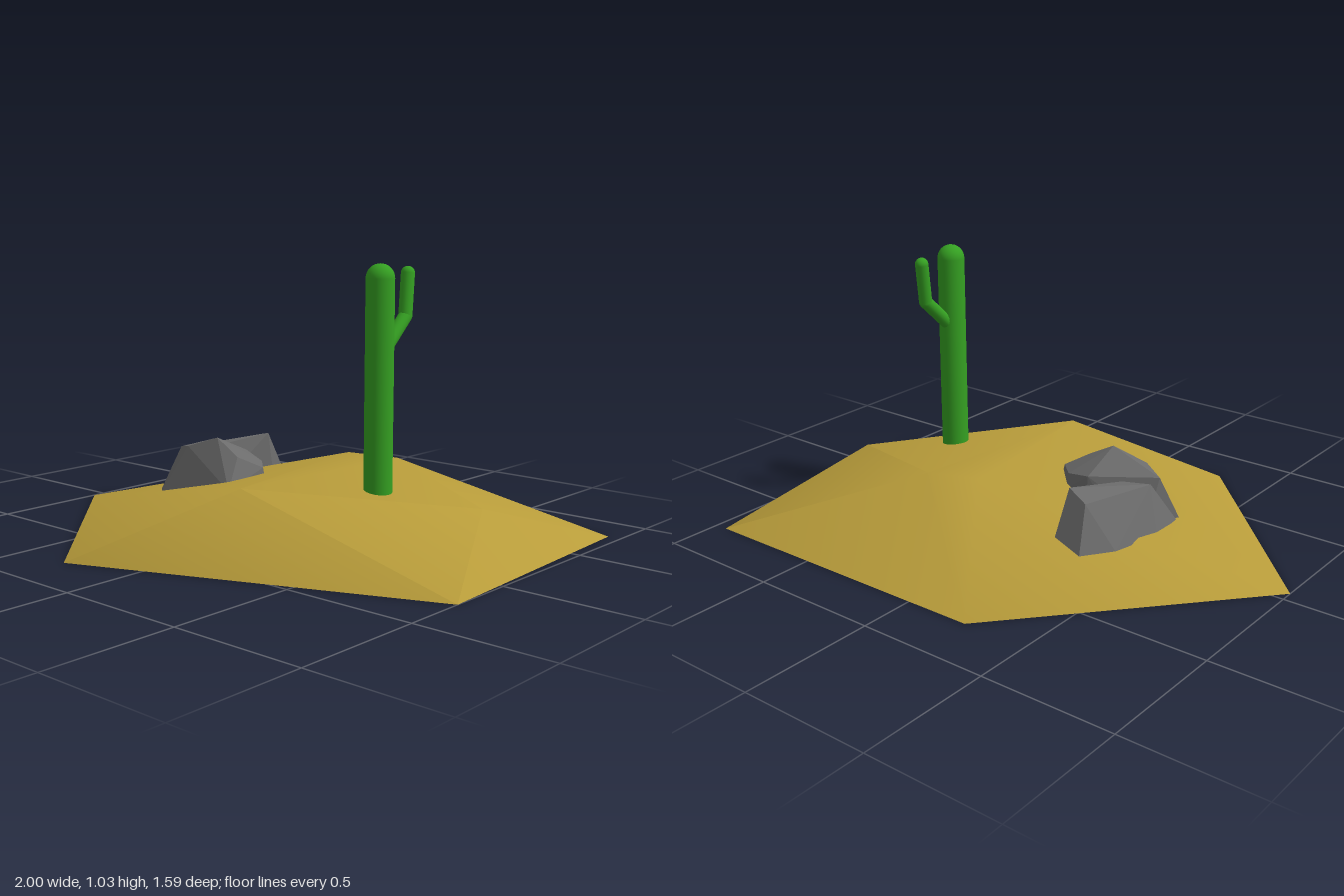
import * as THREE from 'three';
import { toCreasedNormals } from 'three/addons/utils/BufferGeometryUtils.js';
import { ConvexGeometry } from 'three/addons/geometries/ConvexGeometry.js';

const v = (x, y, z) => new THREE.Vector3(x, y, z);

// Open sand shell: five ground corners rising to four crest points
function makeMound() {
  const p = {
    L: [-1, 0, 0.05], T: [-0.28, 0, 0.79], S: [1, 0, 0.26], R: [0.95, 0, -0.8], K: [-0.25, 0, -0.79],
    A: [0.18, 0.265, 0.38], B: [0.79, 0.19, -0.19], C: [0.27, 0.27, -0.39], D: [0.08, 0.275, -0.33],
  };
  const faces = ['LTA', 'TSA', 'SBA', 'SRB', 'RCB', 'RKC', 'KDC', 'KLD', 'LAD', 'ACD', 'ABC'];
  const positions = faces.flatMap((face) => [...face].flatMap((key) => p[key]));
  const geometry = new THREE.BufferGeometry();
  geometry.setAttribute('position', new THREE.Float32BufferAttribute(positions, 3));
  const material = new THREE.MeshStandardMaterial({ color: 0xb89c3a, side: THREE.DoubleSide });
  const mound = new THREE.Mesh(toCreasedNormals(geometry, 0.6), material);
  mound.name = 'sandMound';
  return mound;
}

// Faceted boulder from its corner points
function makeRock(name, corners) {
  const material = new THREE.MeshStandardMaterial({ color: 0x6c6c6c, flatShading: true });
  const rock = new THREE.Mesh(new ConvexGeometry(corners.map((c) => v(...c))), material);
  rock.name = name;
  return rock;
}

function makeCactus() {
  const cactus = new THREE.Group();
  cactus.name = 'cactus';
  const material = new THREE.MeshStandardMaterial({ color: 0x35a022 });
  const add = (parent, name, geometry, position) => {
    const mesh = new THREE.Mesh(geometry, material);
    mesh.name = name;
    mesh.position.copy(position);
    parent.add(mesh);
    return mesh;
  };

  // Trunk with rounded top
  const r = 0.051, bottom = 0.225, shoulder = 0.98;
  add(cactus, 'trunk', new THREE.CylinderGeometry(r, r, shoulder - bottom, 32), v(0.462, (bottom + shoulder) / 2, -0.023));
  add(cactus, 'trunkTop', new THREE.SphereGeometry(r, 32, 8, 0, Math.PI * 2, 0, Math.PI / 2), v(0.462, shoulder, -0.023));

  // Bent arm: two round-ended segments
  const arm = new THREE.Group();
  arm.name = 'arm';
  const path = [v(0.462, 0.72, -0.04), v(0.46, 0.84, -0.172), v(0.45, 0.99, -0.197)];
  for (let i = 0; i < 2; i++) {
    const direction = path[i + 1].clone().sub(path[i]);
    const middle = path[i].clone().add(path[i + 1]).multiplyScalar(0.5);
    const segment = add(arm, ['lowerArm', 'upperArm'][i], new THREE.CapsuleGeometry(0.025, direction.length(), 6, 20), middle);
    segment.quaternion.setFromUnitVectors(v(0, 1, 0), direction.normalize());
  }
  cactus.add(arm);
  return cactus;
}

export function createModel() {
  const model = new THREE.Group();
  model.name = 'desertScene';
  model.add(makeMound(), makeCactus());

  model.add(makeRock('frontRock', [
    // buried foot
    [-0.5, 0.12, 0.12], [-0.44, 0.12, 0.18], [-0.08, 0.18, 0.175], [-0.04, 0.21, 0.02],
    [-0.12, 0.2, -0.06], [-0.23, 0.18, -0.09], [-0.31, 0.16, -0.06], [-0.44, 0.13, 0.0],
    // crown
    [-0.45, 0.285, 0.06], [-0.36, 0.305, 0.11], [-0.23, 0.35, 0.08], [-0.12, 0.29, 0.085],
    [-0.05, 0.25, 0.02], [-0.23, 0.28, -0.08], [-0.12, 0.255, -0.05],
  ]));

  model.add(makeRock('backRock', [
    // buried foot
    [-0.41, 0.13, -0.375], [-0.29, 0.16, -0.355], [-0.275, 0.17, -0.28], [-0.32, 0.16, -0.07],
    [-0.4, 0.14, 0.05], [-0.5, 0.12, 0.1], [-0.51, 0.11, -0.04], [-0.475, 0.12, -0.25],
    // crown
    [-0.38, 0.29, -0.3], [-0.285, 0.315, -0.265], [-0.36, 0.285, -0.05], [-0.45, 0.28, 0.0],
  ]));
  return model;
}
